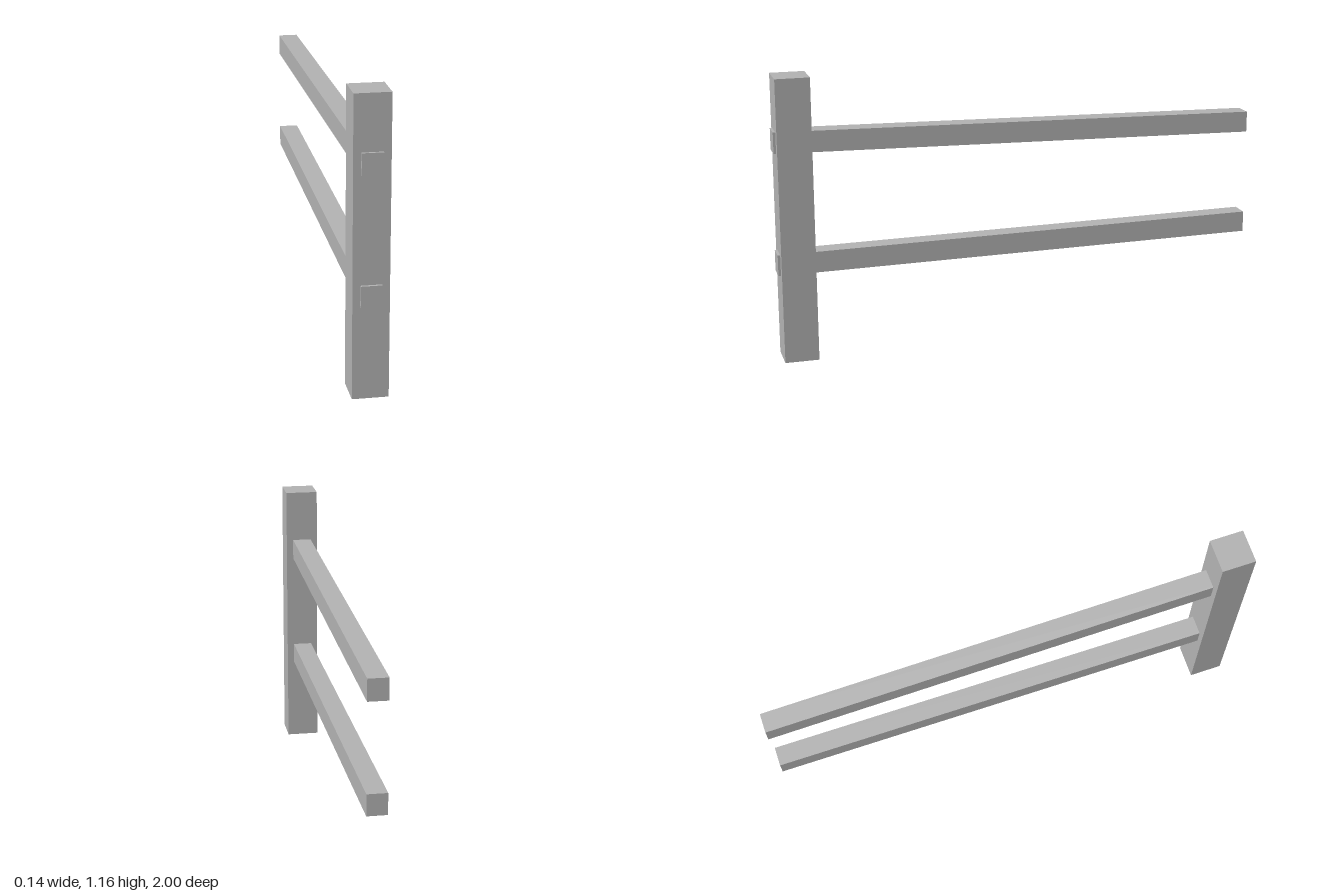
import * as THREE from 'three';

const grey = new THREE.MeshStandardMaterial({ color: 0xb2b2b2 });
grey.name = 'plain grey';

// Rail running the full length in z, sheared so its ends stay vertical
function rail(name, frontY, backY) {
  const geometry = new THREE.BoxGeometry(0.08, 0.086, 2);
  const p = geometry.attributes.position;
  for (let i = 0; i < p.count; i++) {
    p.setY(i, p.getY(i) + THREE.MathUtils.lerp(backY, frontY, (p.getZ(i) + 1) / 2));
  }
  geometry.computeVertexNormals();
  const mesh = new THREE.Mesh(geometry, grey);
  mesh.name = name;
  return mesh;
}

export function createModel() {
  const group = new THREE.Group();
  group.name = 'fenceSection';

  // Upright post at the front end
  const post = new THREE.Mesh(new THREE.BoxGeometry(0.138, 1.16, 0.138), grey);
  post.name = 'post';
  post.position.set(0, 0.58, 0.921);
  group.add(post);

  // Two slightly sloping rails that pass through the post
  group.add(rail('upperRail', 0.902, 0.862), rail('lowerRail', 0.402, 0.424));
  return group;
}
